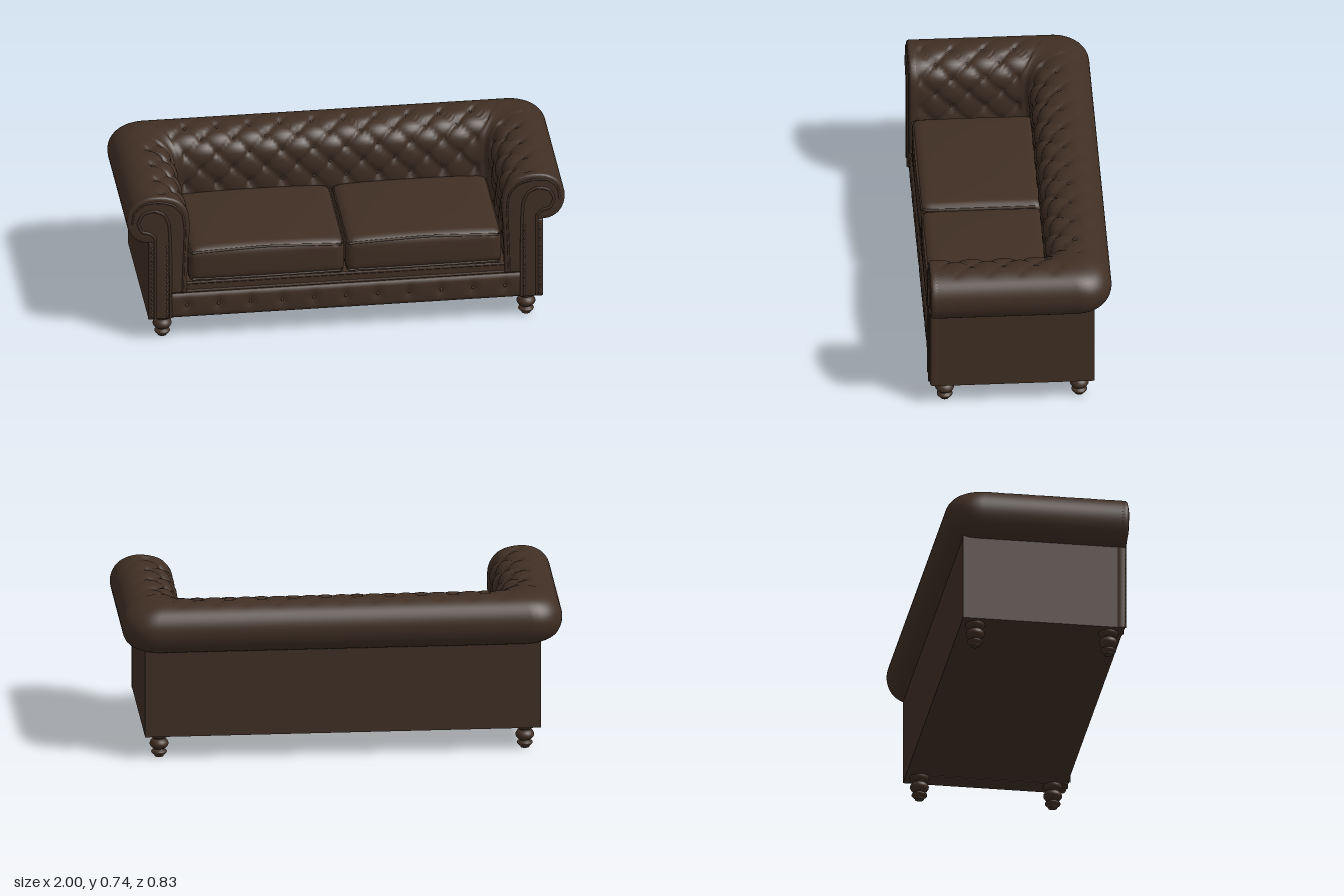
import * as THREE from 'three';
import { mergeGeometries, toCreasedNormals } from 'three/addons/utils/BufferGeometryUtils.js';

const leather = new THREE.MeshStandardMaterial({ color: 0x402f24 });
leather.name = 'dark brown leather';

const V = (x, y, z = 0) => new THREE.Vector3(x, y, z);
const smooth = THREE.MathUtils.smoothstep;

// Cross-section of arm and back: up the inside, over the roll, under its outer lip
const profile = new THREE.CatmullRomCurve3([
  V(0.725, 0.25), V(0.722, 0.36), V(0.718, 0.48), V(0.712, 0.58), V(0.722, 0.66), V(0.765, 0.715),
  V(0.83, 0.738), V(0.90, 0.738), V(0.96, 0.71), V(0.993, 0.66), V(0.998, 0.605), V(0.975, 0.545),
  V(0.93, 0.513), V(0.88, 0.51),
]);
const LENGTH = profile.getLength();
const FRONT = 0.385;
const backZ = (u) => -(u - 0.585);

// Diamond tufting: depth below the surface at path position s, profile position t
const PS = 0.145, PT = 0.16;
function tuft(s, t) {
  const a = Math.abs(Math.sin(Math.PI * (s / PS + t / PT)));
  const b = Math.abs(Math.sin(Math.PI * (s / PS - t / PT)));
  const fade = 1 - smooth(t, 0.5, 0.68);
  return 0.03 * fade * (0.55 * (1 - Math.pow(a * b, 0.4)) + 0.45 * Math.exp(-(a * a + b * b) / 0.2));
}
function profileAt(t) {
  const p = profile.getPointAt(Math.min(t / LENGTH, 1));
  const d = profile.getTangentAt(Math.min(t / LENGTH, 1));
  return { u: p.x, y: p.y, nu: -d.y, ny: d.x };
}

// Sweep the cross-section around the arms and back, with rounded corners
function tuftedShell() {
  const NP = 64, NA = 70, NC = 10, NB = 95, H = NA + NC + NB;
  const pos = [], index = [];
  for (let i = 0; i <= NP; i++) {
    const t = (i / NP) * LENGTH, p = profileAt(t);
    for (let j = 0; j <= 2 * H; j++) {
      const k = Math.min(j, 2 * H - j), side = j > H ? -1 : 1;
      const place = (u) => {
        const r = 0.02 + Math.max(0, (u - 0.72) / 0.28) * 0.12, zb = backZ(u);
        if (k <= NA) return [u, FRONT + (zb + r - FRONT) * (k / NA)];
        if (k <= NA + NC) {
          const a = ((k - NA) / NC) * Math.PI / 2;
          return [u - r + r * Math.cos(a), zb + r - r * Math.sin(a)];
        }
        return [(u - r) * (1 - (k - NA - NC) / NB), zb];
      };
      const [x, z] = place(p.u);
      let depth = 0;
      if (k < NA) depth = tuft(z, t) * smooth(FRONT - z, 0, 0.05) * smooth(z - backZ(p.u), 0.02, 0.07);
      else if (k > NA + NC) depth = tuft(x, t) * smooth(p.u - x, 0.02, 0.07);
      const [qx, qz] = place(p.u - p.nu * depth);
      pos.push(qx * side, p.y - p.ny * depth, qz);
    }
  }
  const W = 2 * H + 1;
  for (let i = 0; i < NP; i++) for (let j = 0; j < 2 * H; j++) {
    const a = i * W + j;
    index.push(a, a + W, a + 1, a + 1, a + W, a + W + 1);
  }
  const g = new THREE.BufferGeometry();
  g.setAttribute('position', new THREE.Float32BufferAttribute(pos, 3));
  g.setIndex(index);
  g.computeVertexNormals();
  return g;
}

// Small domes merged into one geometry
const domes = (points, r) => mergeGeometries(points.map((p) =>
  new THREE.SphereGeometry(r, 8, 6).translate(p.x, p.y, p.z)));

// Buttons at the tuft crossings
function tuftButtons() {
  const pts = [];
  for (let m = 2; m * PT / 2 < 0.6; m++) {
    const t = m * PT / 2, p = profileAt(t), shift = (m % 2) / 2;
    for (let k = -6; k <= 6; k++) {
      const s = (k + shift) * PS, d = tuft(s, t) - 0.002;
      const u = p.u - p.nu * d, y = p.y - p.ny * d;
      if (Math.abs(s) < p.u - 0.07) pts.push(V(s, y, backZ(u)));
      if (s > backZ(p.u) + 0.07 && s < 0.33) pts.push(V(u, y, s), V(-u, y, s));
    }
  }
  return domes(pts, 0.008);
}

// Box with rounded edges and a rule for swelling it
function softBox(w, h, d, r, seg, swell) {
  const g = new THREE.BoxGeometry(w, h, d, ...seg), p = g.attributes.position;
  const half = V(w / 2 - r, h / 2 - r, d / 2 - r), v = V(0, 0), c = V(0, 0);
  for (let i = 0; i < p.count; i++) {
    v.fromBufferAttribute(p, i);
    c.copy(v).clamp(half.clone().negate(), half);
    v.sub(c).setLength(r).add(c);
    if (swell) swell(v);
    p.setXYZ(i, v.x, v.y, v.z);
  }
  g.deleteAttribute('uv');
  return toCreasedNormals(g, 0.9);
}

const pipe = (pts, r, closed = false) =>
  new THREE.TubeGeometry(new THREE.CatmullRomCurve3(pts, closed, 'catmullrom', 0.3), pts.length * 8, r, 6, closed);

export function createModel() {
  const sofa = new THREE.Group();
  sofa.name = 'sofa';
  const add = (name, geometry, x = 0, y = 0, z = 0) => {
    const m = new THREE.Mesh(geometry, leather);
    m.name = name;
    m.position.set(x, y, z);
    sofa.add(m);
    return m;
  };
  const box = (name, x0, x1, y0, y1, z0, z1) => add(name,
    new THREE.BoxGeometry(x1 - x0, y1 - y0, z1 - z0), (x0 + x1) / 2, (y0 + y1) / 2, (z0 + z1) / 2);

  add('tuftedArmsAndBack', tuftedShell());
  add('tuftButtons', tuftButtons());

  // Frame
  box('base', -0.89, 0.89, 0.112, 0.27, -0.33, 0.385);
  box('backPanel', -0.898, 0.898, 0.11, 0.56, -0.335, -0.24);
  box('seatLedge', -0.8, 0.8, 0.23, 0.285, -0.2, 0.392);
  for (const y of [0.242, 0.284])
    add('ledgePiping', pipe([V(-0.79, y, 0.392), V(0, y, 0.392), V(0.79, y, 0.392)], 0.007));

  // Front rail with a row of shallow tufts
  add('frontRail', softBox(1.62, 0.125, 0.06, 0.018, [130, 12, 6], (v) => {
    if (v.z < 0.01) return;
    const dx = (v.x / PS - Math.round(v.x / PS)) * PS;
    v.z += 0.006 * Math.cos(v.y * 22) - 0.012 * Math.exp(-(dx * dx + v.y * v.y * 0.5) / 0.0004);
  }), 0, 0.174, 0.375);
  const railButtons = [];
  for (let k = -5; k <= 5; k++) railButtons.push(V(k * PS, 0.174, 0.4));
  add('railButtons', domes(railButtons, 0.007));

  // Seat cushions, crowned on top and bowed at the front
  for (const s of [-1, 1]) {
    add('seatCushion', softBox(0.712, 0.16, 0.555, 0.035, [36, 14, 30], (v) => {
      const cx = 1 - (v.x / 0.356) ** 2, cz = 1 - (v.z / 0.278) ** 2;
      if (v.y > 0) v.y += 0.022 * Math.sqrt(Math.max(0, cx)) * (0.6 + 0.4 * cz) * (v.y / 0.08);
      if (v.z > 0.2) v.z += 0.008 * cx * (1 - (v.y / 0.11) ** 2);
    }), s * 0.358, 0.37, 0.122);
    for (const y of [0.302, 0.437]) add('cushionPiping', pipe([
      V(s * 0.012, y, -0.12), V(s * 0.012, y, 0.37), V(s * 0.04, y, 0.392), V(s * 0.36, y + (y > 0.4 ? 0.015 : 0), 0.399),
      V(s * 0.675, y, 0.392), V(s * 0.705, y, 0.37), V(s * 0.705, y, -0.12)], 0.006));
  }

  // Feet, turned
  const foot = new THREE.LatheGeometry(new THREE.SplineCurve([
    [0, 0], [0.019, 0], [0.021, 0.006], [0.034, 0.018], [0.034, 0.027], [0.022, 0.036], [0.034, 0.044], [0.043, 0.06],
    [0.036, 0.077], [0.024, 0.086], [0.038, 0.093], [0.044, 0.103], [0.044, 0.115],
  ].map(([x, y]) => new THREE.Vector2(x, y))).getPoints(40), 24);

  const outline = profile.getSpacedPoints(60).map((p) => [p.x, p.y])
    .concat([[0.9, 0.51], [0.9, 0.112], [0.8, 0.112], [0.8, 0.24], [0.725, 0.24]]);
  for (const s of [-1, 1]) {
    for (const z of [0.34, -0.27]) add('foot', foot, s * 0.83, 0, z);
    const xs = [s * 0.8, s * 0.898].sort((a, b) => a - b);
    box('armSidePanel', xs[0], xs[1], 0.11, 0.56, -0.335, 0.385);

    // Scroll-shaped arm front
    const shape = new THREE.Shape(outline.map(([x, y]) => new THREE.Vector2(s * x, y)));
    add('armFront', toCreasedNormals(new THREE.ExtrudeGeometry(shape, {
      depth: 0.02, bevelThickness: 0.012, bevelSize: 0.012, bevelOffset: -0.012, bevelSegments: 4,
    }), 0.6), 0, 0, 0.378);

    // Piping that curls into the scroll, and the outer seam with its nail heads
    const scroll = [[0.8, 0.12], [0.8, 0.3], [0.802, 0.5], [0.808, 0.6], [0.83, 0.652], [0.875, 0.673], [0.925, 0.66],
      [0.948, 0.615], [0.93, 0.57], [0.895, 0.558], [0.872, 0.535], [0.87, 0.5], [0.87, 0.3], [0.87, 0.12]]
      .map(([x, y]) => V(s * x, y, 0.41));
    add('scrollPiping', pipe(scroll, 0.007));
    add('armInnerPiping', pipe([[0.745, 0.25], [0.74, 0.4], [0.735, 0.56], [0.745, 0.645], [0.785, 0.695], [0.85, 0.715],
      [0.92, 0.71], [0.965, 0.67], [0.975, 0.61]].map(([x, y]) => V(s * x, y, 0.409)), 0.005));
    const nails = [];
    for (let y = 0.13; y < 0.5; y += 0.022) nails.push(V(s * 0.884, y, 0.408), V(s * 0.815, y, 0.408));
    add('nailHeads', domes(nails, 0.006));
  }
  return sofa;
}
